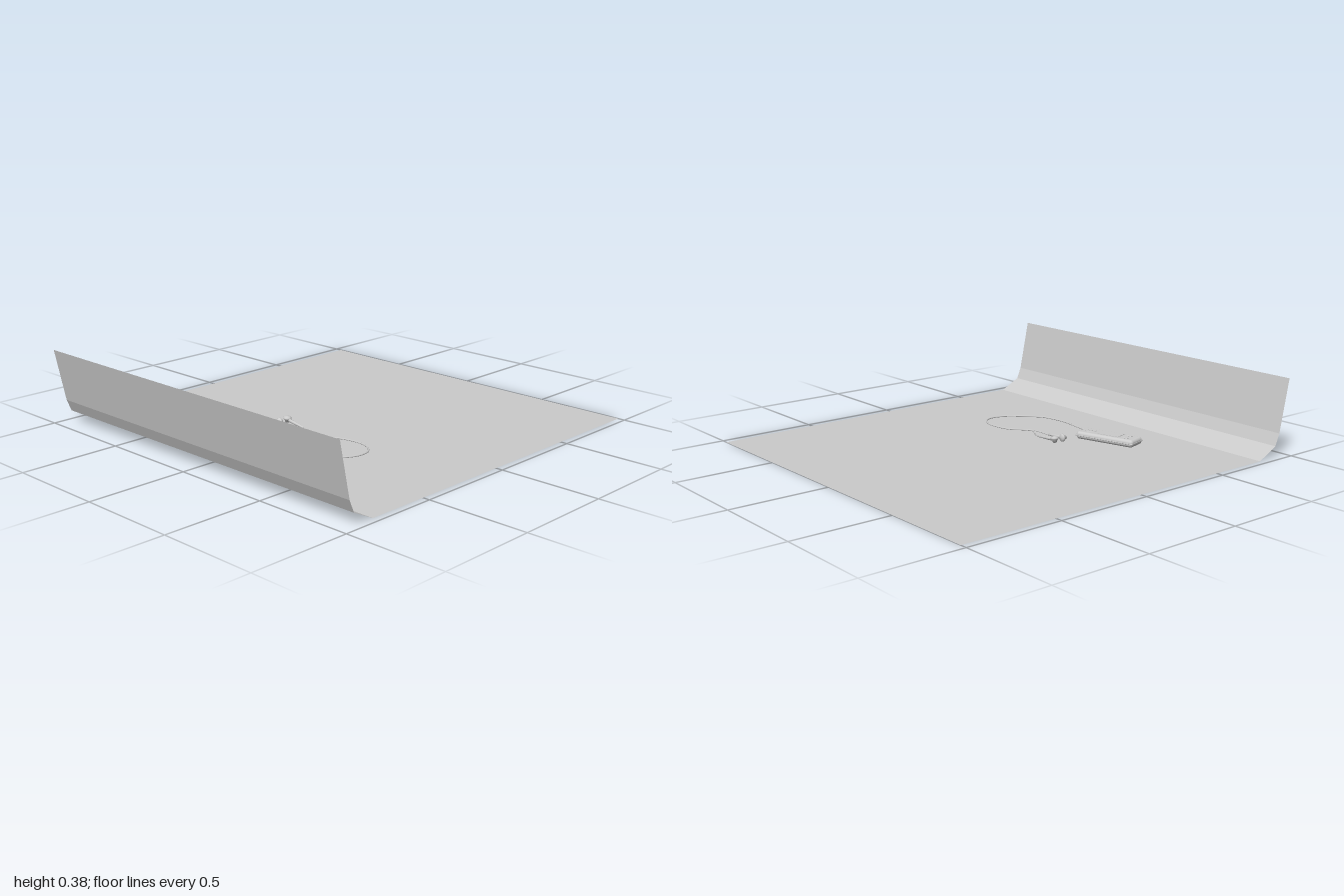
import * as THREE from 'three';
import { RoundedBoxGeometry } from 'three/addons/geometries/RoundedBoxGeometry.js';

const grey = new THREE.MeshStandardMaterial({ color: 0xcccccc });
const sheetGrey = new THREE.MeshStandardMaterial({ color: 0xcccccc, flatShading: true, side: THREE.DoubleSide });

function add(parent, name, geometry, x = 0, y = 0, z = 0, material = grey) {
  const mesh = new THREE.Mesh(geometry, material);
  mesh.name = name;
  mesh.position.set(x, y, z);
  parent.add(mesh);
  return mesh;
}

// Tube through [x, z] points lying at one height
function cord(parent, name, points, y, radius = 0.004) {
  const curve = new THREE.CatmullRomCurve3(points.map(([x, z]) => new THREE.Vector3(x, y, z)));
  return add(parent, name, new THREE.TubeGeometry(curve, points.length * 10, radius, 8));
}

// Lathe along +x from [distance, radius] pairs
function turned(profile) {
  const pts = profile.map(([d, r]) => new THREE.Vector2(r, d));
  return new THREE.LatheGeometry(pts, 20).rotateZ(-Math.PI / 2);
}

// Flat sheet whose front edge bends upward in three facets
function makeSheet() {
  const profile = [[-1, 0], [0.81, 0], [0.92, 0.055], [0.945, 0.115], [1, 0.38]];
  const g = new THREE.PlaneGeometry(1.93, 1, 1, profile.length - 1);
  const p = g.attributes.position;
  for (let i = 0; i < p.count; i++) {
    const [z, y] = profile[Math.floor(i / 2)];
    p.setXYZ(i, p.getX(i), y, z);
  }
  g.computeVertexNormals();
  return g;
}

function makePlayer() {
  const player = new THREE.Group();
  player.name = 'player';
  add(player, 'playerBody', new RoundedBoxGeometry(0.325, 0.038, 0.11, 5, 0.016), 0, 0.034, 0);
  add(player, 'playerSeam', new RoundedBoxGeometry(0.328, 0.006, 0.113, 3, 0.003), 0, 0.034, 0);
  add(player, 'screen', new THREE.BoxGeometry(0.116, 0.003, 0.064), -0.012, 0.0535, 0);
  // Control pad and its centre button
  add(player, 'controlPad', new THREE.CylinderGeometry(0.028, 0.03, 0.004, 32), 0.105, 0.054, 0);
  add(player, 'centreButton', new THREE.CylinderGeometry(0.011, 0.011, 0.004, 24), 0.105, 0.056, 0);
  for (const z of [-0.022, 0.022]) {
    add(player, 'sideButton', new RoundedBoxGeometry(0.024, 0.004, 0.016, 2, 0.002), -0.11, 0.054, z);
  }
  player.position.set(-0.284, 0, 0.465);
  player.rotation.y = 0.27;
  return player;
}

// Bud with its stem running along +x and a round head tilted about x
function makeEarbud(name, x, z, yaw, headTilt) {
  const bud = new THREE.Group();
  bud.name = name;
  add(bud, 'stem', turned([[0, 0], [0, 0.008], [0.05, 0.008], [0.09, 0.0065], [0.125, 0.004], [0.125, 0]]), 0, 0, 0);
  const head = new THREE.Group();
  head.name = 'head';
  const profile = [[0, -0.015], [0.009, -0.015], [0.012, -0.005], [0.02, 0.003], [0.02, 0.009], [0.014, 0.015], [0, 0.017]];
  add(head, 'speaker', new THREE.LatheGeometry(profile.map(([r, d]) => new THREE.Vector2(r, d)), 24));
  head.rotation.x = headTilt;
  bud.add(head);
  bud.position.set(x, 0.034, z);
  bud.rotation.set(0, yaw, -0.1, 'YXZ');
  return bud;
}

export function createModel() {
  const model = new THREE.Group();
  model.name = 'playerOnSheet';
  add(model, 'sheet', makeSheet(), 0, 0, 0, sheetGrey);
  model.add(makePlayer());
  model.add(makeEarbud('upwardEarbud', -0.14, 0.23, -0.09, 0));
  model.add(makeEarbud('sidewaysEarbud', -0.14, 0.288, -0.1, -Math.PI / 2));

  // Two bud cords join into the main cord
  cord(model, 'budCord', [[-0.02, 0.24], [0.02, 0.25], [0.06, 0.27], [0.1, 0.302]], 0.019, 0.003);
  cord(model, 'budCord', [[-0.02, 0.3], [0.04, 0.306], [0.1, 0.304]], 0.019, 0.003);
  cord(model, 'mainCord', [[0.1, 0.303], [0.15, 0.275], [0.2, 0.23], [0.29, 0.207], [0.37, 0.215],
    [0.43, 0.26], [0.445, 0.32], [0.42, 0.39], [0.36, 0.455], [0.29, 0.52], [0.22, 0.54],
    [0.13, 0.545], [0.03, 0.53], [-0.08, 0.514]], 0.017);

  // Plug at the end of the main cord
  const plug = add(model, 'plug', turned([[0, 0], [0.006, 0.004], [0.038, 0.004], [0.038, 0.009],
    [0.075, 0.009], [0.1, 0.004], [0.1, 0]]), -0.17, 0.02, 0.54);
  plug.rotation.y = 0.25;
  return model;
}
